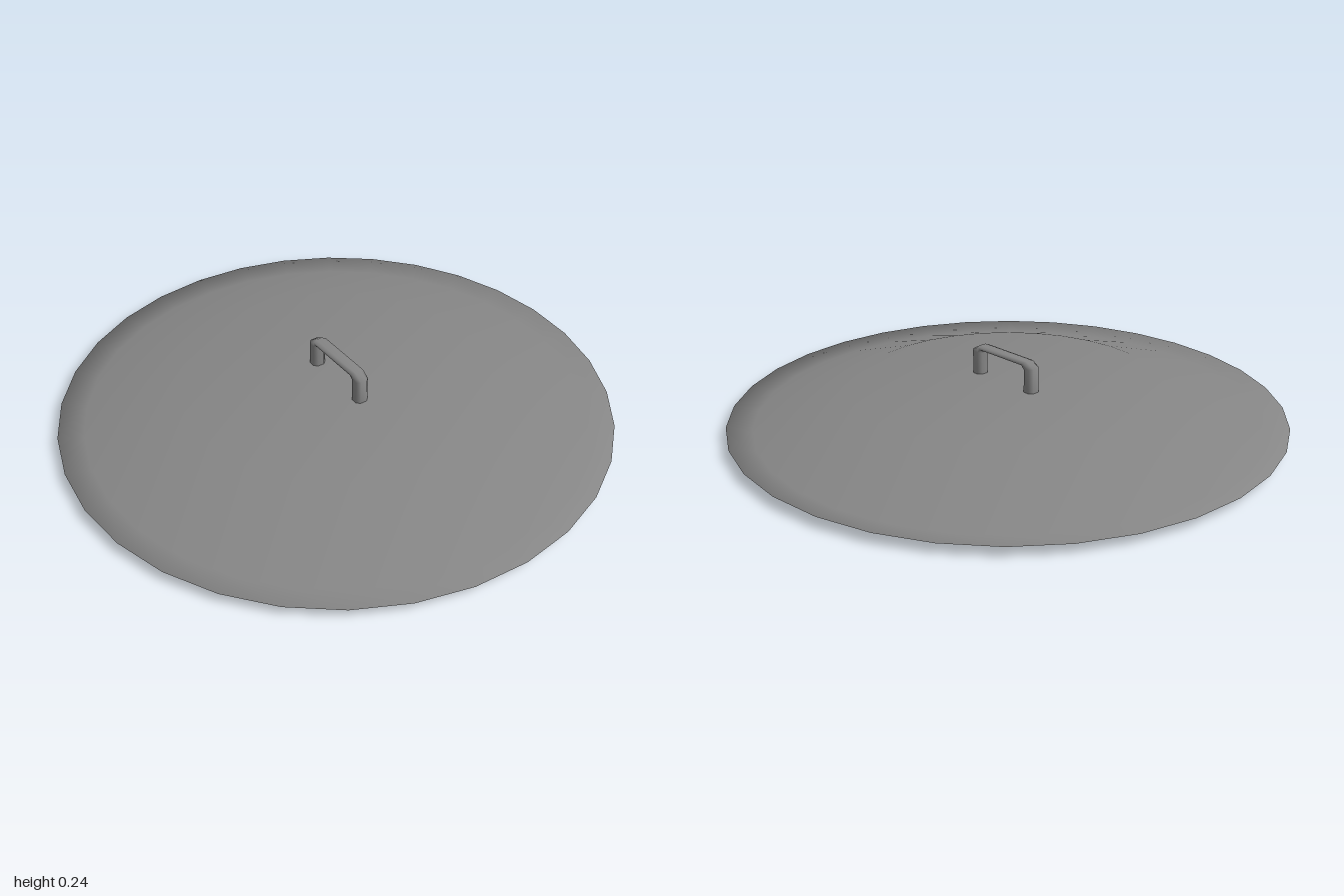
import * as THREE from 'three';

const material = new THREE.MeshStandardMaterial({ color: 0x868686, side: THREE.DoubleSide });

// Hollow pressed lid: crown, sloped shoulder and flared lip, open underneath
function makeLid() {
  const profile = [
    [0, 0.12], [0.56, 0.12], [0.93, 0.002], [1, 0.038],
    [0.91, 0.022], [0.565, 0.132], [0, 0.132],
  ].map(([r, y]) => new THREE.Vector2(r, y));
  const lid = new THREE.Mesh(new THREE.LatheGeometry(profile, 32, -0.02), material);
  lid.name = 'lid';
  return lid;
}

// Handle: chamfered rings swept up one leg, across the bar and down the other
function makeHandle() {
  const halfWidth = 0.025;
  // Chamfered square section: t runs inner to outer, w across the bar
  const section = [
    [1, -0.5], [1, 0.5], [0.75, 1], [0.25, 1],
    [0, 0.5], [0, -0.5], [0.25, -1], [0.75, -1],
  ];
  const sides = section.length;
  // Each station: outer u, outer y, inner u, inner y
  const half = [
    [-0.157, 0.125, -0.11, 0.125],
    [-0.157, 0.222, -0.11, 0.215],
    [-0.12, 0.243, -0.105, 0.226],
  ];
  const mirrored = half.map(([a, b, c, d]) => [-a, b, -c, d]).reverse();
  const stations = [...half, ...mirrored];

  const positions = [], indices = [];
  for (const [ou, oy, iu, iy] of stations) {
    for (const [t, w] of section) {
      positions.push(iu + (ou - iu) * t, iy + (oy - iy) * t, halfWidth * w);
    }
  }
  for (let i = 0; i < stations.length - 1; i++) {
    for (let j = 0; j < sides; j++) {
      const k = (j + 1) % sides;
      const a = i * sides + j, b = i * sides + k;
      const c = a + sides, d = b + sides;
      indices.push(a, b, c, b, d, c);
    }
  }
  const geometry = new THREE.BufferGeometry();
  geometry.setAttribute('position', new THREE.Float32BufferAttribute(positions, 3));
  geometry.setIndex(indices);
  geometry.computeVertexNormals();

  const handle = new THREE.Mesh(geometry, material);
  handle.name = 'handle';
  handle.position.set(0.012, 0, 0.012);
  handle.rotation.y = -0.63;
  return handle;
}

export function createModel() {
  const model = new THREE.Group();
  model.name = 'potLid';
  model.add(makeLid(), makeHandle());
  return model;
}
